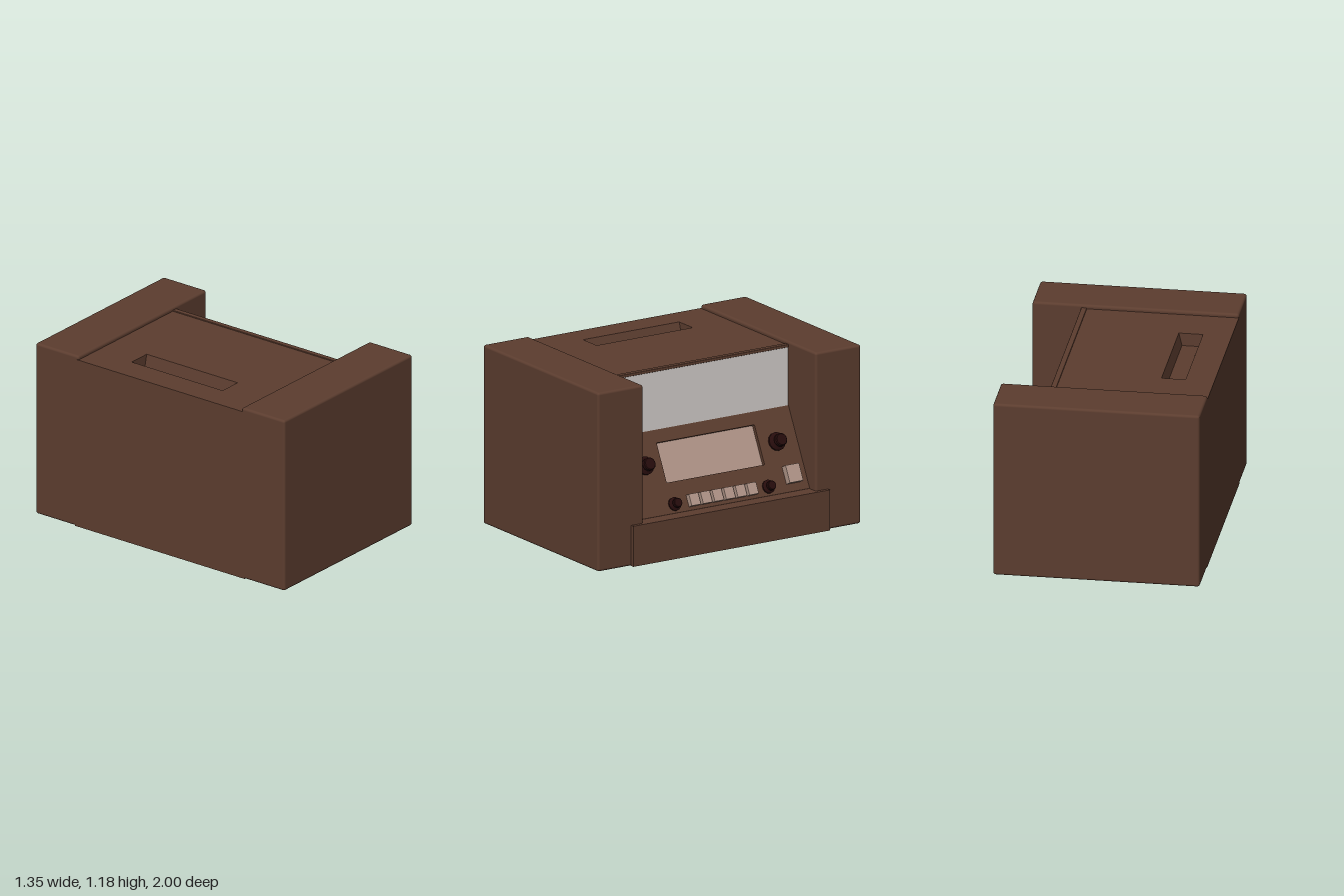
import * as THREE from 'three';
import { toCreasedNormals } from 'three/addons/utils/BufferGeometryUtils.js';
import { RoundedBoxGeometry } from 'three/addons/geometries/RoundedBoxGeometry.js';

function flat(name, color) {
  const m = new THREE.MeshStandardMaterial({ color });
  m.name = name;
  return m;
}

export function createModel() {
  const brown = flat('brown casing', 0x5c3d2f);
  const dark = flat('dark knob', 0x260c0c);
  const beige = flat('beige key', 0xb09487);
  const pale = flat('pale screen', 0xd4cfcc);

  const model = new THREE.Group();
  model.name = 'consoleCabinet';

  function add(parent, name, geometry, material, x = 0, y = 0, z = 0) {
    const mesh = new THREE.Mesh(geometry, material);
    mesh.name = name;
    mesh.position.set(x, y, z);
    parent.add(mesh);
    return mesh;
  }
  // Box given by its limits on each axis
  function block(parent, name, material, [x0, x1], [y0, y1], [z0, z1], radius = 0) {
    const size = [x1 - x0, y1 - y0, z1 - z0];
    const geo = radius
      ? new RoundedBoxGeometry(...size, 3, radius)
      : new THREE.BoxGeometry(...size);
    return add(parent, name, geo, material, (x0 + x1) / 2, (y0 + y1) / 2, (z0 + z1) / 2);
  }
  const shapeOf = (pts) => new THREE.Shape(pts.map(([x, y]) => new THREE.Vector2(x, y)));

  // Side cabinets
  for (const s of [-1, 1]) {
    const z = s > 0 ? [0.655, 1] : [-1, -0.655];
    block(model, s > 0 ? 'leftCabinet' : 'rightCabinet', brown, [-0.675, 0.65], [0, 1.18], z, 0.016);
  }

  // Central body: the middle length carries the handle slot in its top
  const slot = [[-0.335, 1.155], [-0.355, 1.07], [-0.46, 1.07], [-0.49, 1.155]];
  function bodyPiece(name, z0, z1, notch) {
    const profile = [
      [-0.675, 0], [0.553, 0], [0.553, 0.257], [0.308, 0.747], [0.308, 1.155],
      ...(notch ? slot : []), [-0.675, 1.155],
    ];
    const geo = new THREE.ExtrudeGeometry(shapeOf(profile), { depth: z1 - z0, bevelEnabled: false });
    add(model, name, geo, brown, 0, 0, z0);
  }
  bodyPiece('bodyRight', -0.68, -0.37, false);
  bodyPiece('bodyMiddle', -0.37, 0.36, true);
  bodyPiece('bodyLeft', 0.36, 0.68, false);

  // Upper screen, top lip and kick board
  block(model, 'screen', pale, [0.306, 0.328], [0.745, 1.142], [-0.657, 0.657]);
  block(model, 'topLip', brown, [0.3, 0.336], [1.142, 1.162], [-0.657, 0.657], 0.005);
  block(model, 'kickBoard', brown, [0.54, 0.675], [0, 0.268], [-0.748, 0.748]);

  // Sloping control panel: local x runs to -z, y up the slope, z out of the face
  const tilt = Math.atan2(0.245, 0.49);
  const panel = new THREE.Group();
  panel.name = 'controlPanel';
  panel.position.set(0.58, 0.27, 0);
  panel.rotation.set(-tilt, Math.PI / 2, 0, 'YXZ');
  model.add(panel);
  const up = (y) => (y - 0.27) / Math.cos(tilt);

  const face = shapeOf([[-0.66, 0], [0.66, 0], [0.66, up(0.76)], [-0.66, up(0.76)]]);
  const [w0, w1] = [up(0.45), up(0.685)];
  face.holes.push(shapeOf([[-0.372, w0], [-0.372, w1], [0.372, w1], [0.372, w0]]));
  add(panel, 'panelFace', new THREE.ExtrudeGeometry(face, { depth: 0.03, bevelEnabled: false }), brown, 0, 0, -0.03);
  block(panel, 'displayWindow', beige, [-0.372, 0.372], [w0, w1], [-0.031, -0.026]);

  // Knobs: flange, narrow neck and cap
  const knobProfile = [
    [0, 0], [0.06, 0], [0.06, 0.014], [0.048, 0.022], [0.033, 0.028], [0.033, 0.036],
    [0.042, 0.042], [0.042, 0.066], [0.036, 0.072], [0, 0.072],
  ].map(([r, h]) => new THREE.Vector2(r, h));
  const knobGeo = toCreasedNormals(new THREE.LatheGeometry(knobProfile, 14), 0.5);
  knobGeo.rotateX(Math.PI / 2);
  for (const s of [-1, 1]) {
    add(panel, 'largeKnob', knobGeo, dark, s * 0.5, up(0.567), 0);
    add(panel, 'smallKnob', knobGeo, dark, s * 0.357, up(0.322), 0).scale.setScalar(0.74);
  }

  // Row of six keys and one larger key
  for (let i = 0; i < 6; i++) {
    const u = (i - 2.5) * 0.088;
    block(panel, 'key', beige, [u - 0.035, u + 0.035], [0.023, 0.1], [-0.01, 0.035]);
  }
  block(panel, 'largeKey', beige, [0.494, 0.596], [0.052, 0.167], [-0.01, 0.045]);

  return model;
}
